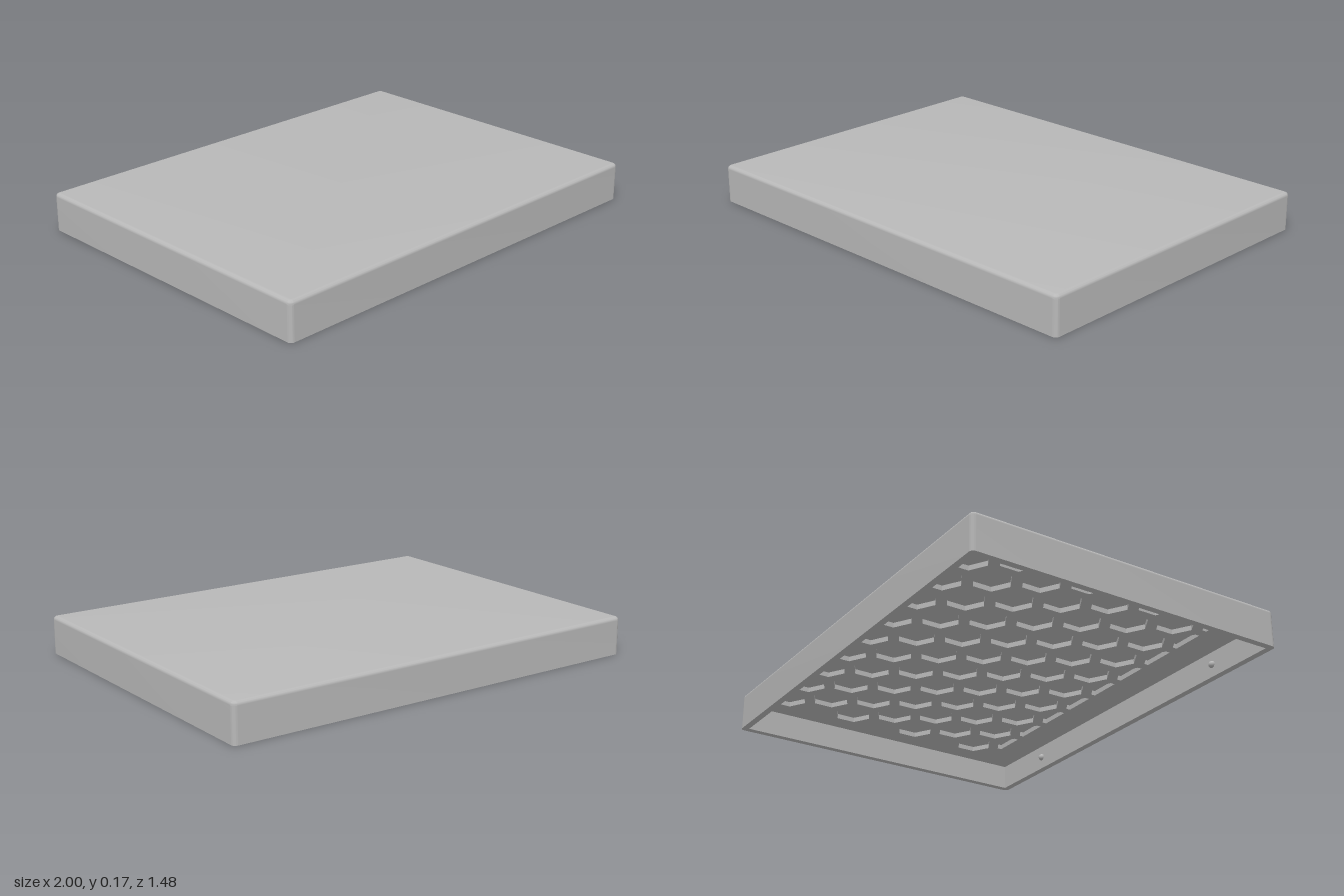
import * as THREE from 'three';
import { toCreasedNormals } from 'three/addons/utils/BufferGeometryUtils.js';

const HX = 1, HZ = 0.74, HEIGHT = 0.17, WALL = 0.03;
const CEILING = 0.114, FLOOR = 0.136; // underside of the panel, bottom of its cells

// rectangle outline with rounded corners
function roundedRect(hx, hz, r) {
  const s = new THREE.Shape();
  s.absarc(hx - r, hz - r, r, 0, Math.PI / 2);
  s.absarc(-hx + r, hz - r, r, Math.PI / 2, Math.PI);
  s.absarc(-hx + r, -hz + r, r, Math.PI, Math.PI * 1.5);
  s.absarc(hx - r, -hz + r, r, Math.PI * 1.5, Math.PI * 2);
  s.closePath();
  return s;
}

function rect(hx, hz) {
  return [[-hx, -hz], [hx, -hz], [hx, hz], [-hx, hz]].map(p => new THREE.Vector2(...p));
}

// extrude a plan shape upwards from y0
function slab(shape, y0, depth, options = {}) {
  const geo = new THREE.ExtrudeGeometry(shape, { depth, bevelEnabled: false, curveSegments: 6, ...options });
  geo.rotateX(-Math.PI / 2).translate(0, y0, 0);
  return toCreasedNormals(geo, 0.6);
}

// keep the part of a polygon where side(p) >= 0
function clip(points, side) {
  const out = [];
  points.forEach((p, i) => {
    const q = points[(i + 1) % points.length];
    const a = side(p), b = side(q);
    if (a >= 0) out.push(p);
    if (a * b < 0) out.push(p.clone().lerp(q, a / (a - b)));
  });
  return out;
}

// staggered hexagonal cells, trimmed to the patterned area
function honeycomb() {
  const pitch = 0.195, r = 0.086, cells = [];
  for (let row = 0; row < 8; row++) {
    for (let col = 0; col < 9; col++) {
      const x = 0.8 - col * pitch - (row % 2) * pitch / 2;
      const z = -0.6 + row * pitch * Math.sqrt(3) / 2;
      let hex = [];
      for (let k = 0; k < 6; k++) {
        const a = Math.PI / 6 + k * Math.PI / 3;
        hex.push(new THREE.Vector2(x + r * Math.cos(a), -z + r * Math.sin(a)));
      }
      hex = clip(hex, p => p.x + 0.87);
      hex = clip(hex, p => p.y + 0.56);
      if (hex.length > 2) cells.push(new THREE.Path(hex));
    }
  }
  return cells;
}

export function createModel() {
  const group = new THREE.Group();
  const grey = new THREE.MeshStandardMaterial({ color: 0xb8b8b8 });
  grey.name = 'grey plastic';
  const add = (name, geo) => {
    const mesh = new THREE.Mesh(geo, grey);
    mesh.name = name;
    group.add(mesh);
    return mesh;
  };

  // skirt around the lid, open below
  const edge = (HEIGHT - FLOOR) / 2;
  const frame = roundedRect(HX, HZ, 0.02);
  frame.holes.push(new THREE.Path(rect(HX - WALL, HZ - WALL)));
  add('sideWalls', slab(frame, 0, HEIGHT - edge));

  // top plate with a rounded upper edge, its lower edge sunk in the walls
  add('topPlate', slab(roundedRect(HX, HZ, 0.02), FLOOR + edge, 0.0005, {
    bevelEnabled: true, bevelThickness: edge, bevelSize: edge, bevelOffset: -edge, bevelSegments: 5,
  }));

  // ceiling panel with recessed cells
  const panel = new THREE.Shape(rect(HX - WALL, HZ - WALL));
  panel.holes = honeycomb();
  add('honeycombPanel', slab(panel, CEILING, FLOOR - CEILING));

  // snap bumps inside the front and back walls
  const bump = new THREE.SphereGeometry(0.016, 16, 12);
  for (const sx of [-1, 1]) {
    for (const sz of [-1, 1]) {
      add('snapBump', bump).position.set(sx * 0.64, 0.057, sz * (HZ - WALL));
    }
  }
  return group;
}
